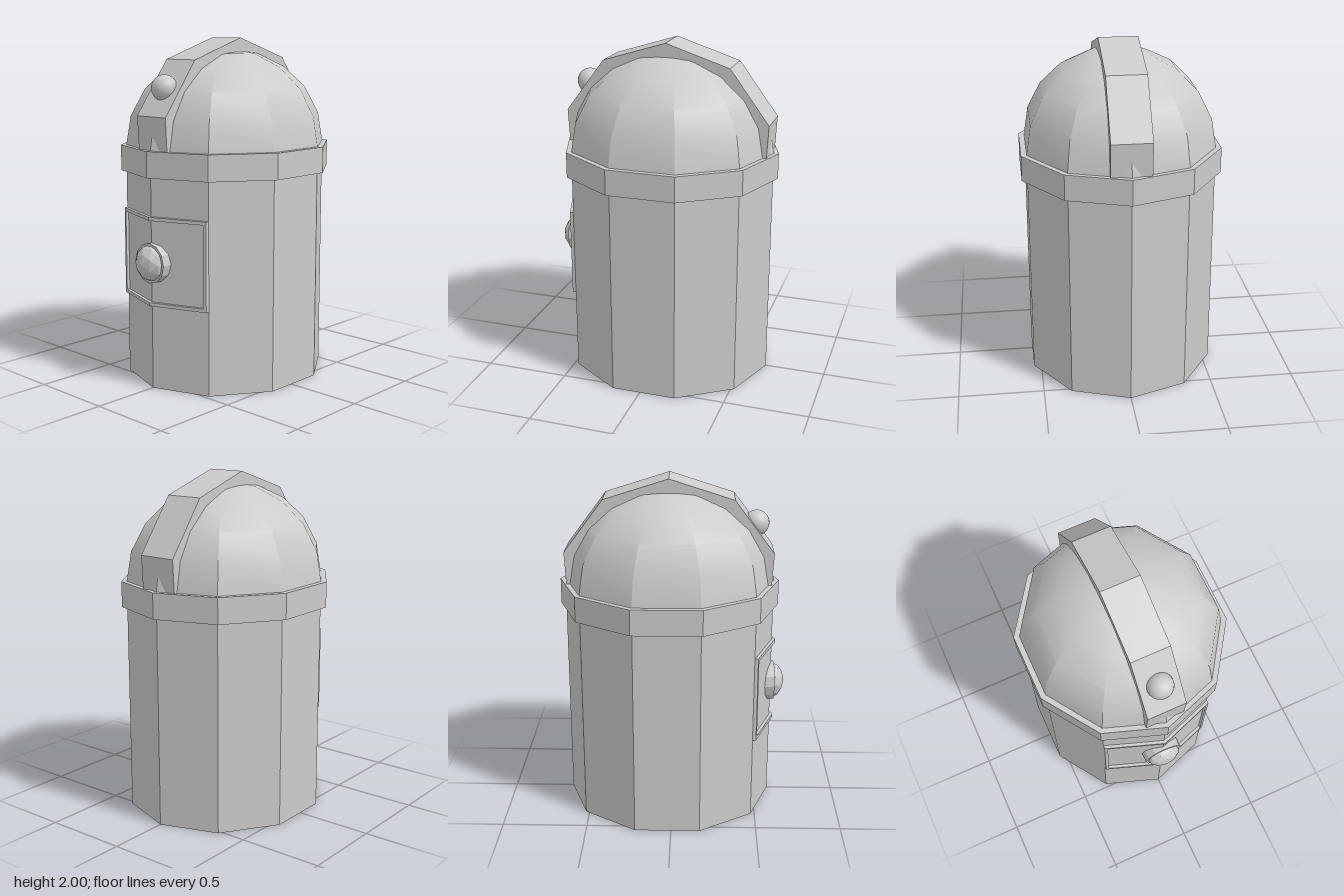
import * as THREE from 'three';
import { toCreasedNormals } from 'three/addons/utils/BufferGeometryUtils.js';

const flat = new THREE.MeshStandardMaterial({ color: 0xcccccc, flatShading: true });
const smooth = new THREE.MeshStandardMaterial({ color: 0xcccccc });

function add(parent, name, geometry, material = flat) {
  const mesh = new THREE.Mesh(geometry, material);
  mesh.name = name;
  parent.add(mesh);
  return mesh;
}

// Ten-sided prism, slightly deeper than wide, with a corner facing the front
function prism(r, rz, y0, y1) {
  return new THREE.CylinderGeometry(r, r, y1 - y0, 10)
    .scale(1, 1, rz / r).translate(0, (y0 + y1) / 2, 0);
}

// Raised strip that follows the two front wall facets through the given x values
function facetStrip(xs, y0, y1) {
  const wall = x => 0.617 - 0.349 * Math.abs(x);
  const outer = xs.map(x => new THREE.Vector2(x, -wall(x) - 0.02));
  const inner = xs.map(x => new THREE.Vector2(x, -wall(x) + 0.01)).reverse();
  const shape = new THREE.Shape([...outer, ...inner]);
  return new THREE.ExtrudeGeometry(shape, { depth: y1 - y0, bevelEnabled: false })
    .rotateX(-Math.PI / 2).translate(0, y0, 0);
}

export function createModel() {
  const model = new THREE.Group();
  model.name = 'domedTower';
  const tower = new THREE.Group();
  tower.name = 'tower';
  tower.position.z = -0.022;
  model.add(tower);

  // Walls and the collar under the dome
  add(tower, 'wall', prism(0.573, 0.617, 0, 1.3));
  add(tower, 'collar', prism(0.607, 0.646, 1.23, 1.38));

  // Dome: smooth towards the crown, creased near the base
  const profile = [];
  for (let i = 0; i <= 5; i++) {
    const a = i * Math.PI / 10;
    profile.push(new THREE.Vector2(i === 5 ? 0 : 0.573 * Math.cos(a), 1.378 + 0.559 * Math.sin(a)));
  }
  const dome = new THREE.LatheGeometry(profile, 10).scale(1, 1, 0.617 / 0.573);
  add(tower, 'dome', toCreasedNormals(dome, Math.PI / 6), smooth);

  // Angular shutter band arching over the dome from front to back
  const half = [[0.597, 1.37], [0.608, 1.57], [0.377, 1.88]];
  const outline = [...half, [0, 2], ...half.map(([z, y]) => [-z, y]).reverse()];
  const band = new THREE.ExtrudeGeometry(
    new THREE.Shape(outline.map(p => new THREE.Vector2(...p))),
    { depth: 0.23, bevelEnabled: false }
  ).translate(0, 0, -0.115).rotateY(-Math.PI / 2);
  add(tower, 'shutterBand', band);

  // Round lamp on the front of the band
  add(tower, 'lamp', new THREE.SphereGeometry(0.075, 20, 14), smooth).position.set(0, 1.725, 0.505);

  // Thin frame on the front facets
  const frame = new THREE.Group();
  frame.name = 'panelFrame';
  tower.add(frame);
  add(frame, 'bottomRail', facetStrip([-0.337, 0, 0.337], 0.493, 0.513));
  add(frame, 'topRail', facetStrip([-0.337, 0, 0.337], 0.988, 1.008));
  for (const [name, a, b] of [['leftRail', 0.319, 0.337], ['rightRail', -0.337, -0.319]]) {
    add(frame, name, facetStrip([a, b], 0.5, 1));
  }

  // Faceted knob on a short round base
  const knob = new THREE.Group();
  knob.name = 'knob';
  knob.position.set(0, 0.742, 0.617);
  tower.add(knob);
  add(knob, 'knobBase', new THREE.CylinderGeometry(0.117, 0.117, 0.06, 12).rotateX(Math.PI / 2))
    .position.z = -0.012;
  add(knob, 'knobCap', new THREE.IcosahedronGeometry(0.108, 1)).scale.z = 0.74;

  return model;
}
